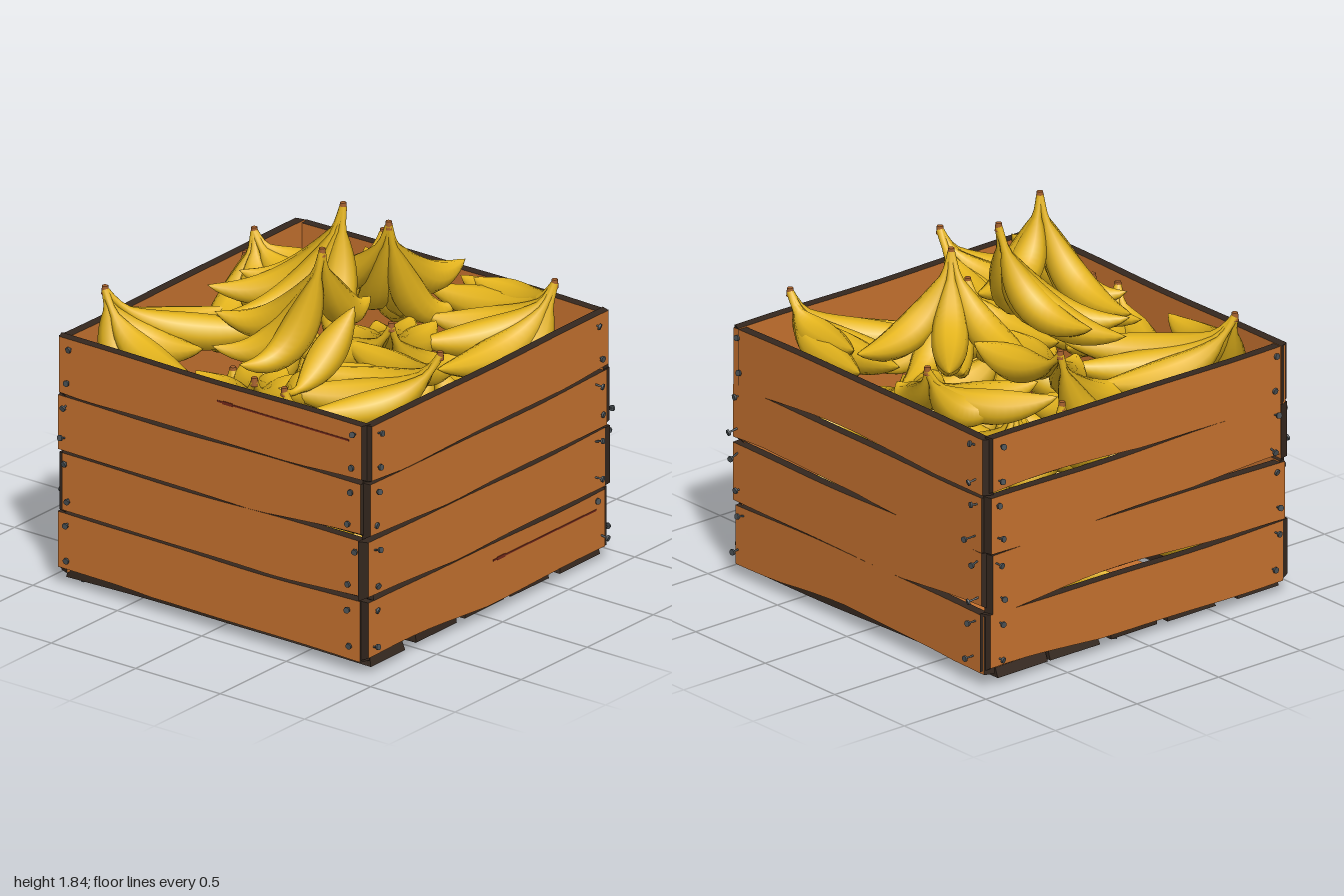
import * as THREE from 'three';

const mat = (name, color) => {
  const m = new THREE.MeshStandardMaterial({ color });
  m.name = name;
  return m;
};

// small seeded generator for wear and scatter
let seed = 7;
const rnd = () => {
  seed = (seed * 16807) % 2147483647;
  return seed / 2147483647;
};

export function createModel() {
  seed = 7;
  const wood = mat('wood', 0xc6722f);
  const edge = mat('darkEdgeWood', 0x35281f);
  const crackMat = mat('crackRed', 0x74281a);
  const iron = mat('nailIron', 0x4b5256);
  const yellow = mat('bananaYellow', 0xe5b51d);
  const brown = mat('stemBrown', 0xa5602c);

  const model = new THREE.Group();
  model.name = 'bananaCrate';
  const crate = new THREE.Group();
  crate.name = 'crate';
  model.add(crate);

  const add = (parent, name, geo, material, x = 0, y = 0, z = 0) => {
    const m = new THREE.Mesh(geo, material);
    m.name = name;
    m.position.set(x, y, z);
    parent.add(m);
    return m;
  };

  // board with wavy long edges: wood faces, dark rims; the outer lower edge is chipped upwards
  function plankGeo(x0, x1, y0, y1, wave) {
    const n = 16, s = new THREE.Shape();
    const pa = rnd() * 6, pb = rnd() * 6, endL = 0.025 * rnd(), endR = 0.025 * rnd();
    const w = (t, p) => wave * (Math.sin(t * 5 + p) + 0.4 * Math.sin(t * 11 + p * 2));
    for (let i = 0; i <= n; i++) {
      const t = i / n;
      s[i ? 'lineTo' : 'moveTo'](x0 + (x1 - x0) * t, y0 + w(t, pa));
    }
    for (let i = n; i >= 0; i--) {
      const t = i / n;
      s.lineTo(x0 + (x1 - x0) * t, y1 + w(t, pb));
    }
    const g = new THREE.ExtrudeGeometry(s, { depth: 0.048, bevelEnabled: false });
    const p = g.attributes.position;
    for (let i = 0; i < p.count; i++) {
      const x = p.getX(i), y = p.getY(i), t = (x - x0) / (x1 - x0);
      if (p.getZ(i) > 0.02) {
        if (y < (y0 + y1) / 2) p.setY(i, y + 0.028 * Math.max(0, Math.sin(t * 4.5 + pb)));
      } else if (t < 0.01) p.setX(i, x - endL);
      else if (t > 0.99) p.setX(i, x + endR);
    }
    g.computeVertexNormals();
    return g;
  }

  // nail pointing along local +z, sticking out by a given length
  const shaftGeo = new THREE.CylinderGeometry(0.005, 0.005, 1, 6).rotateX(Math.PI / 2).translate(0, 0, 0.5);
  const headGeo = new THREE.CylinderGeometry(0.015, 0.015, 0.01, 10).rotateX(Math.PI / 2);
  function nail(parent, x, y, z, out) {
    const g = new THREE.Group();
    g.name = 'nail';
    g.position.set(x, y, z);
    g.rotation.set((rnd() - 0.5) * 0.6, (rnd() - 0.5) * 0.6, 0);
    add(g, 'nailShaft', shaftGeo, iron).scale.z = out;
    add(g, 'nailHead', headGeo, iron, 0, 0, out);
    parent.add(g);
  }

  // four walls of four planks, overlapping in turn at the corners
  const rows = [[0.07, 0.366], [0.376, 0.672], [0.68, 0.96], [0.968, 1.255]];
  const nailOut = [0.03, 0.035, 0.07, 0.035];
  ['frontWall', 'leftWall', 'backWall', 'rightWall'].forEach((name, k) => {
    const wall = new THREE.Group();
    wall.name = name;
    wall.rotation.y = k * Math.PI / 2;
    rows.forEach(([y0, y1], r) => {
      const shift = (rnd() - 0.5) * 0.03;
      add(wall, 'wallPlank', plankGeo(-0.9 + shift, 0.89 + shift, y0, y1, r === 3 ? 0.004 : 0.006),
        [wood, edge], 0, 0, 0.872);
      for (const x of [-0.86, 0.83]) for (const y of [y0 + 0.07, y1 - 0.045])
        nail(wall, x + (rnd() - 0.5) * 0.05, y, 0.917, 0.008 + nailOut[k] * rnd());
    });
    // long split in one board
    if (k < 2) {
      const y = k ? 0.28 : 1.17;
      add(wall, 'crack', new THREE.BoxGeometry(0.78, 0.008, 0.006), crackMat, 0.42, y, 0.92);
      add(wall, 'crackKnot', new THREE.BoxGeometry(0.06, 0.016, 0.006), crackMat, 0.09, y, 0.92);
    }
    crate.add(wall);
  });

  // floor slats with nails from below: [z, half width]
  const floor = new THREE.Group();
  floor.name = 'floor';
  for (const [z, half] of [[-0.7, 0.155], [-0.36, 0.145], [0, 0.15], [0.36, 0.15], [0.745, 0.125]]) {
    const slat = new THREE.Group();
    slat.name = 'floorSlat';
    slat.position.set(0, 0.033, z);
    slat.rotation.y = (rnd() - 0.5) * 0.03;
    add(slat, 'slatBoard', plankGeo(-0.88, 0.88, -half, half, 0.008), [wood, edge]).rotation.x = -Math.PI / 2;
    const under = new THREE.Group();
    under.name = 'slatNails';
    under.rotation.x = Math.PI / 2;
    for (const x of [-0.83, 0.83]) for (const y of [-0.08, 0.08]) nail(under, x, y, 0, 0.005 + 0.02 * rnd());
    slat.add(under);
    floor.add(slat);
  }
  crate.add(floor);

  // one banana: a tube from stem to tip with a thin neck and a swollen body
  function bananaGeo(stem, tip) {
    const bend = new THREE.Vector3().lerpVectors(stem, tip, 0.25);
    bend.y = Math.min(tip.y, stem.y) - 0.1;
    const curve = new THREE.QuadraticBezierCurve3(stem, bend, tip);
    const n = 18, sides = 10;
    const g = new THREE.TubeGeometry(curve, n, 1, sides);
    const p = g.attributes.position, v = new THREE.Vector3();
    for (let i = 0; i <= n; i++) {
      const t = i / n, c = curve.getPointAt(t);
      const u = Math.max(0, (t - 0.15) / 0.85);
      const r = 0.014 * (1 - t) + 0.077 * Math.pow(Math.sin(Math.PI * Math.pow(u, 0.95)), 0.95) + (i === n ? 0 : 0.004);
      for (let j = 0; j <= sides; j++) {
        const q = i * (sides + 1) + j;
        v.fromBufferAttribute(p, q).sub(c).multiplyScalar(r).add(c);
        p.setXYZ(q, v.x, v.y, v.z);
      }
    }
    return g;
  }

  const capGeo = new THREE.CylinderGeometry(0.015, 0.019, 0.042, 8);
  const bananas = new THREE.Group();
  bananas.name = 'bananas';
  model.add(bananas);
  function bunch([x, y, z], tipY, tips) {
    const g = new THREE.Group();
    g.name = 'bananaBunch';
    const stem = new THREE.Vector3(x, y - 0.02, z);
    tips.forEach(([tx, tz, ty = tipY]) =>
      add(g, 'banana', bananaGeo(stem, new THREE.Vector3(tx, ty, tz)), yellow));
    add(g, 'stemCap', capGeo, brown, x, y - 0.02, z);
    bananas.add(g);
  }

  // visible heap: stem position, tip height, tips as [x, z, height]
  bunch([0, 1.84, -0.07], 1.4, [[-0.58, 0.22, 1.37], [-0.36, 0.43, 1.34], [-0.1, 0.4, 1.3], [0.2, 0.3, 1.35], [-0.5, 0.08, 1.42]]);
  bunch([0.13, 1.72, -0.25], 1.34, [[-0.54, -0.26], [-0.33, -0.66], [0.13, -0.83, 1.34], [-0.22, -0.47, 1.25], [0.22, -0.66, 1.2], [-0.02, -0.68, 1.2]]);
  bunch([0.22, 1.81, 0.37], 1.28, [[-0.27, 0.58, 1.26], [-0.37, 0.43, 1.36], [0, 0.72], [0.03, -0.03, 1.46], [0.18, -0.05, 1.42]]);
  bunch([0.76, 1.44, -0.7], 1.2, [[0.1, -0.83, 1.25], [0.04, -0.64, 1.25], [0.2, -0.44], [0.35, -0.16], [0.57, -0.05, 1.15], [0.24, -0.75, 1.3], [0.72, -0.18, 1.05]]);
  bunch([0.88, 1.44, 0.32], 1.2, [[0.16, 0.12, 1.25], [0.2, 0.68], [0.48, 0.84], [0.22, 0.5, 1.24], [0.22, 0.27]]);
  bunch([-0.83, 1.45, 0.67], 1.19, [[-0.6, 0.02], [-0.33, 0.05], [-0.17, 0.16, 1.24], [-0.38, 0.5], [-0.16, 0.83], [-0.5, 0.79, 1.1]]);
  bunch([-0.69, 1.47, -0.28], 1.25, [[-0.1, -0.1, 1.34], [-0.36, 0.1], [-0.58, 0.25, 1.15], [-0.15, -0.35, 1.36], [-0.75, 0.1, 1.05]]);
  bunch([-0.31, 1.4, -0.77], 1.18, [[-0.58, -0.2], [-0.38, -0.15], [0.1, -0.4], [0.05, -0.65], [-0.48, -0.45]]);
  bunch([0.41, 1.39, 0.09], 1.2, [[-0.1, -0.12], [0.05, -0.25], [0.28, -0.42], [0.48, -0.38, 1.1], [-0.12, 0.2], [0.15, -0.4]]);
  bunch([-0.82, 1.28, -0.38], 0.95, [[-0.74, 0.0], [-0.55, -0.7], [-0.74, -0.7], [-0.45, 0.0]]);
  bunch([0.14, 1.27, 0.78], 1.12, [[-0.25, 0.35], [-0.05, 0.3], [0.08, 0.3], [-0.35, 0.6]]);
  bunch([0.31, 1.26, 0.77], 1.2, [[0.39, 0.34, 1.55], [0.2, 0.35], [0.6, 0.4, 1.05], [0.72, 0.62, 1.0]]);
  bunch([0.5, 1.05, 0.3], 0.8, [[0.55, -0.2], [0.78, 0.05], [0.8, 0.25], [0.6, 0.75]]);

  // filler bunches deeper in the crate
  const clamp = v => THREE.MathUtils.clamp(v, -0.74, 0.74);
  for (const y of [1.08, 0.8, 0.53])
    for (const [cx, cz] of [[-0.3, 0.38], [0.38, 0.3], [0.3, -0.38], [-0.38, -0.3]]) {
      const a0 = rnd() * 6.28, tips = [];
      for (let i = 0; i < 5; i++) {
        const a = a0 + i * 1.25;
        tips.push([clamp(cx + 0.5 * Math.cos(a)), clamp(cz + 0.5 * Math.sin(a))]);
      }
      bunch([cx, y, cz], y - 0.24, tips);
    }

  return model;
}
